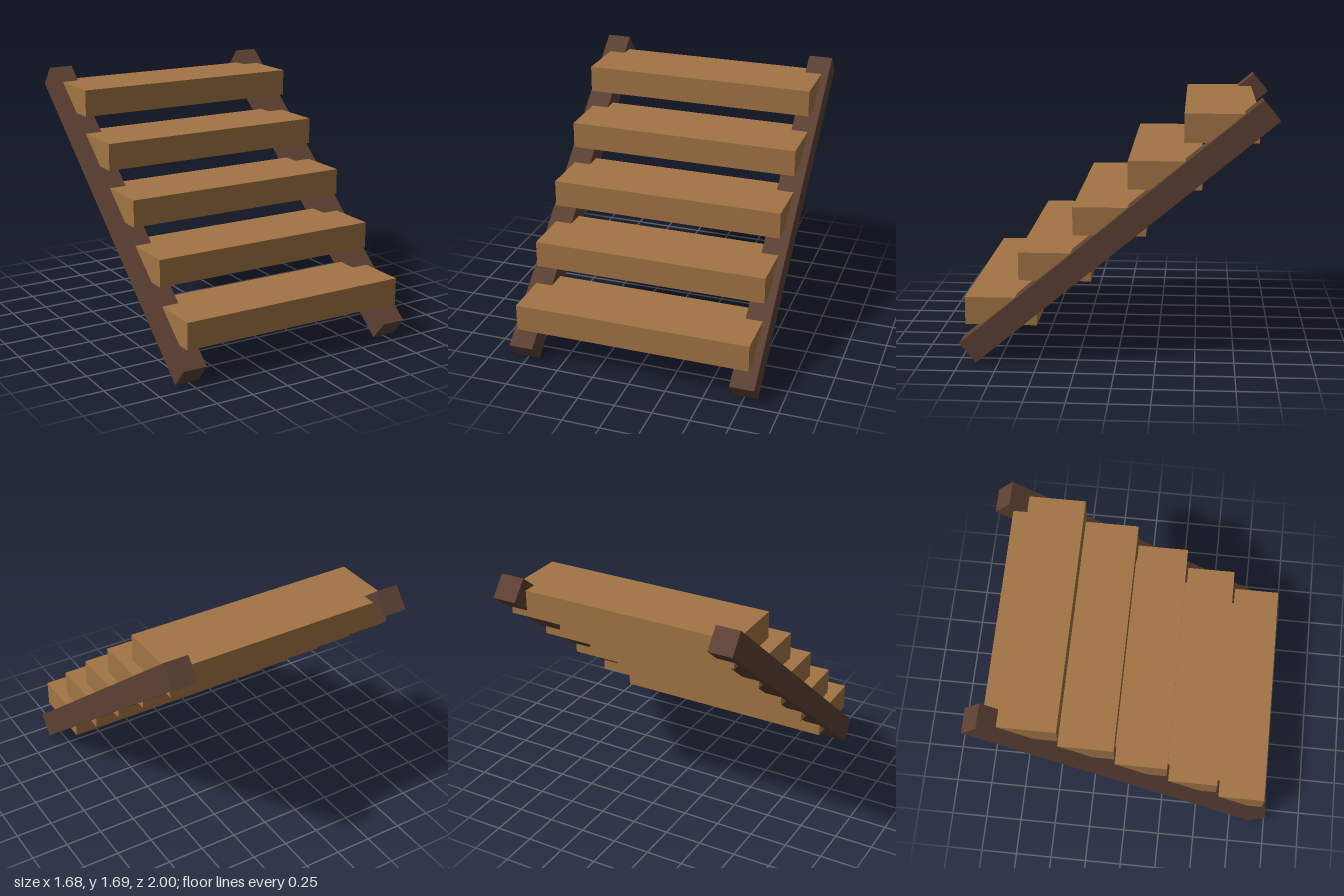
import * as THREE from 'three';

export function createModel() {
  const group = new THREE.Group();
  const treadMat = new THREE.MeshStandardMaterial({ color: 0xa17444, flatShading: true });
  const stringerMat = new THREE.MeshStandardMaterial({ color: 0x5c4033, flatShading: true });

  function box(name, size, position, material) {
    const mesh = new THREE.Mesh(new THREE.BoxGeometry(...size), material);
    mesh.name = name;
    mesh.position.set(...position);
    group.add(mesh);
    return mesh;
  }

  // Sloping side beams, rising towards the back
  for (const side of [-1, 1]) {
    const name = side > 0 ? 'leftStringer' : 'rightStringer';
    const beam = box(name, [0.163, 0.164, 2.46], [side * 0.757, 0.847, 0], stringerMat);
    beam.rotation.x = THREE.MathUtils.degToRad(39.6);
  }

  // Five level treads set into the beams
  for (let i = 0; i < 5; i++) {
    box(`tread${i + 1}`, [1.58, 0.18, 0.46], [0, 0.33 + i * 0.2965, 0.735 - i * 0.346], treadMat);
  }

  return group;
}
